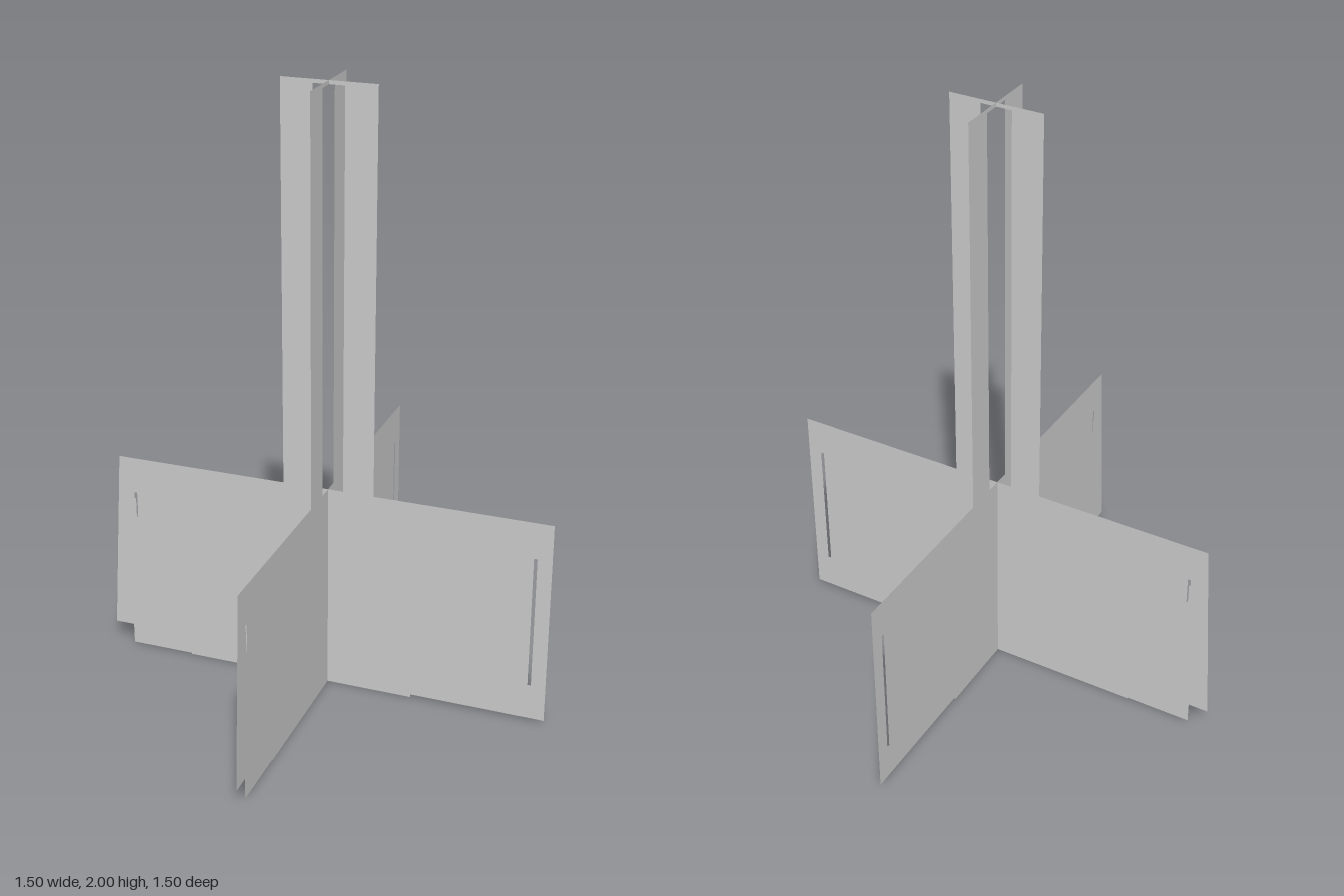
import * as THREE from 'three';

const points = (list) => list.map(([x, y]) => new THREE.Vector2(x, y));

// Flat panel: wide base, tall post with a window, two cut slots
function panelGeometry() {
  const shape = new THREE.Shape(points([
    [-0.685, 0.004], [-0.47, 0.004], [-0.47, 0], [0.305, 0], [0.305, 0.01], [0.75, 0.01],
    [0.75, 0.7], [0.171, 0.7], [0.171, 2], [-0.131, 2], [-0.131, 0.7],
    [-0.71, 0.7], [-0.75, 0.073], [-0.685, 0.073],
  ]));
  // post window, long slot, small stepped slot
  const holes = [
    [[-0.03, 0.7], [-0.03, 1.988], [0.07, 1.988], [0.07, 0.7]],
    [[0.692, 0.13], [0.692, 0.578], [0.703, 0.578], [0.703, 0.13]],
    [[-0.661, 0.576], [-0.651, 0.576], [-0.651, 0.487], [-0.656, 0.487], [-0.656, 0.555], [-0.661, 0.555]],
  ];
  // keep the window just inside the outline so the cut triangulates cleanly
  holes[0][0][1] = holes[0][3][1] = 0.701;
  for (const hole of holes) shape.holes.push(new THREE.Path(points(hole)));
  return new THREE.ShapeGeometry(shape);
}

export function createModel() {
  const group = new THREE.Group();
  group.name = 'crossedPanelStand';
  const material = new THREE.MeshStandardMaterial({
    color: 0xcccccc, side: THREE.DoubleSide, flatShading: true,
  });
  const geometry = panelGeometry();

  // Panel facing front
  const frontPanel = new THREE.Mesh(geometry, material);
  frontPanel.name = 'frontPanel';
  frontPanel.position.z = -0.02;

  // Same panel turned a quarter about the post axis
  const sidePanel = new THREE.Mesh(geometry, material);
  sidePanel.name = 'sidePanel';
  sidePanel.rotation.y = Math.PI / 2;
  sidePanel.position.x = 0.02;

  group.add(frontPanel, sidePanel);
  return group;
}
